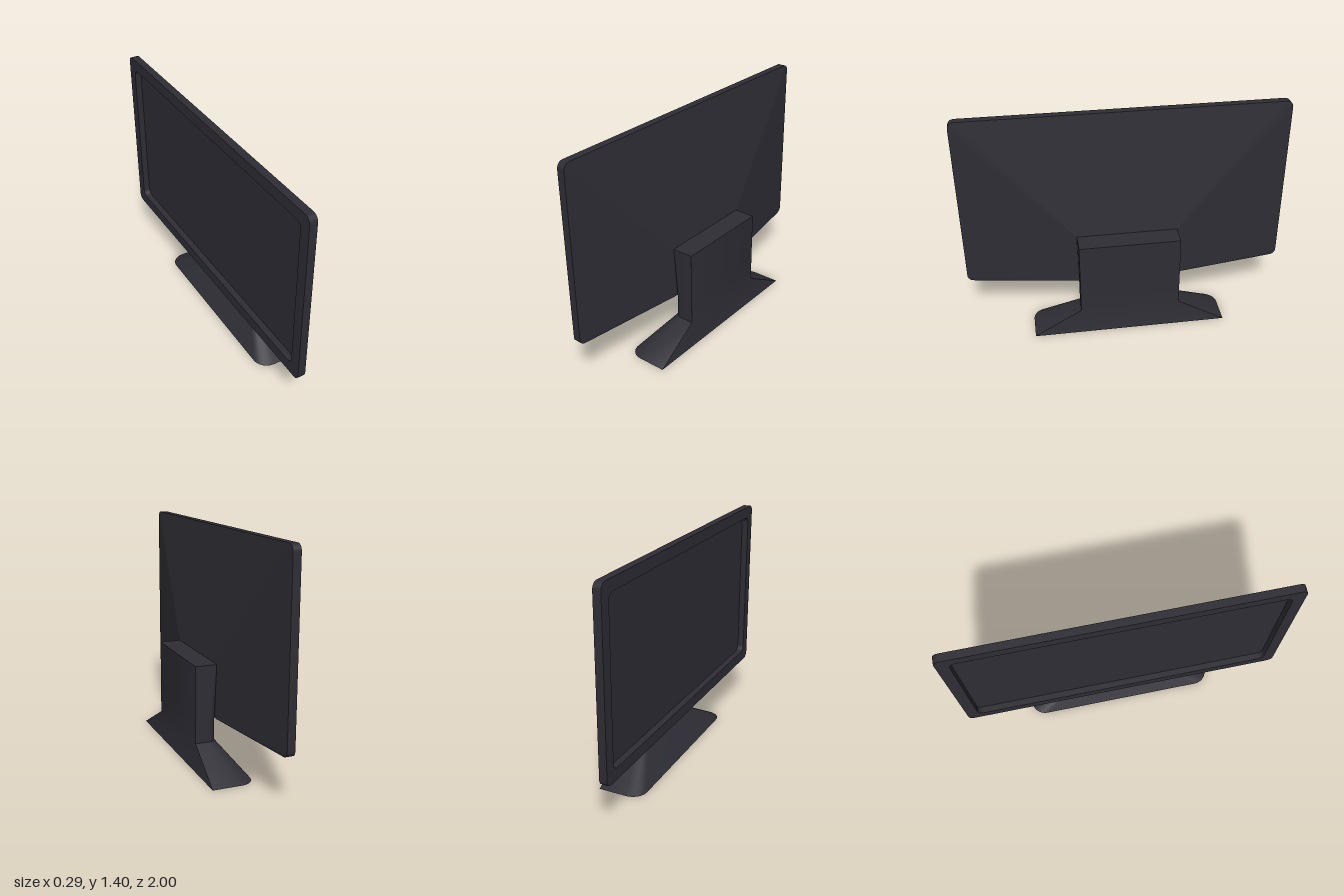
import * as THREE from 'three';
import { toCreasedNormals } from 'three/addons/utils/BufferGeometryUtils.js';

const plastic = new THREE.MeshStandardMaterial({ color: 0x2e2d35 });
plastic.name = 'charcoal plastic';

// Counter-clockwise rectangle outline with its own radius on the low-q and high-q corners
function outline(p0, p1, q0, q1, rLow, rHigh, n = 8) {
  const corners = [
    [p1, q1, rHigh, -1, -1], [p0, q1, rHigh, 1, -1],
    [p0, q0, rLow, 1, 1], [p1, q0, rLow, -1, 1],
  ];
  const pts = [];
  corners.forEach(([p, q, r, sp, sq], k) => {
    for (let i = 0; i <= n; i++) {
      const a = (k + i / n) * Math.PI / 2;
      pts.push([p + sp * r + r * Math.cos(a), q + sq * r + r * Math.sin(a)]);
    }
  });
  return pts;
}

// Skin through matching rings, closed with flat ends
function loft(rings) {
  const pos = [], m = rings[0].length;
  const tri = (a, b, c) => pos.push(...a, ...b, ...c);
  for (let r = 0; r < rings.length - 1; r++) {
    const A = rings[r], B = rings[r + 1];
    for (let i = 0; i < m; i++) {
      const j = (i + 1) % m;
      tri(A[i], A[j], B[j]);
      tri(A[i], B[j], B[i]);
    }
  }
  const first = rings[0], last = rings[rings.length - 1];
  for (let i = 1; i < m - 1; i++) {
    tri(first[0], first[i + 1], first[i]);
    tri(last[0], last[i], last[i + 1]);
  }
  const g = new THREE.BufferGeometry();
  g.setAttribute('position', new THREE.Float32BufferAttribute(pos, 3));
  g.computeVertexNormals();
  return g;
}

const toShape = (pts) => new THREE.Shape(pts.map(([p, q]) => new THREE.Vector2(p, q)));

export function createModel() {
  const group = new THREE.Group();
  const add = (name, geometry) => {
    const mesh = new THREE.Mesh(geometry, plastic);
    mesh.name = name;
    group.add(mesh);
    return mesh;
  };

  // Bezel: rounded frame with an opening, facing -x
  const bezelShape = toShape(outline(-1, 1, 0.3, 1.4, 0.04, 0.04));
  bezelShape.holes.push(toShape(outline(-0.93, 0.93, 0.37, 1.33, 0.04, 0.04)));
  const bezelGeo = new THREE.ExtrudeGeometry(bezelShape, { depth: 0.047, bevelEnabled: false });
  bezelGeo.rotateY(Math.PI / 2).translate(-0.147, 0, 0);
  add('bezel', toCreasedNormals(bezelGeo, 0.4));

  // Recessed display panel
  const screenGeo = new THREE.ExtrudeGeometry(
    toShape(outline(-0.94, 0.94, 0.36, 1.34, 0.04, 0.04)), { depth: 0.006, bevelEnabled: false });
  screenGeo.rotateY(Math.PI / 2).translate(-0.107, 0, 0);
  add('screen', screenGeo);

  // Tapered back housing, from the frame outline to the neck
  const backRing = (x, y0, y1, w, r) =>
    outline(y0, y1, -w, w, r, r).map(([y, z]) => [x, y, z]);
  add('backHousing', loft([
    backRing(-0.1, 0.3, 1.4, 1, 0.04),
    backRing(0, 0.3, 0.632, 0.31, 0.001),
  ]));

  // Stand: flared foot and neck, rounded on the screen side
  const standRing = (y, front, back, w, r) =>
    outline(-w, w, front, back, r, 0.001).map(([z, x]) => [x, y, z]);
  add('stand', toCreasedNormals(loft([
    standRing(0, -0.122, 0.144, 0.605, 0.09),
    standRing(0.165, 0, 0.131, 0.31, 0.045),
    standRing(0.3, 0, 0.131, 0.31, 0.045),
    standRing(0.632, 0, 0.131, 0.31, 0.002),
  ]), 0.4));

  return group;
}
